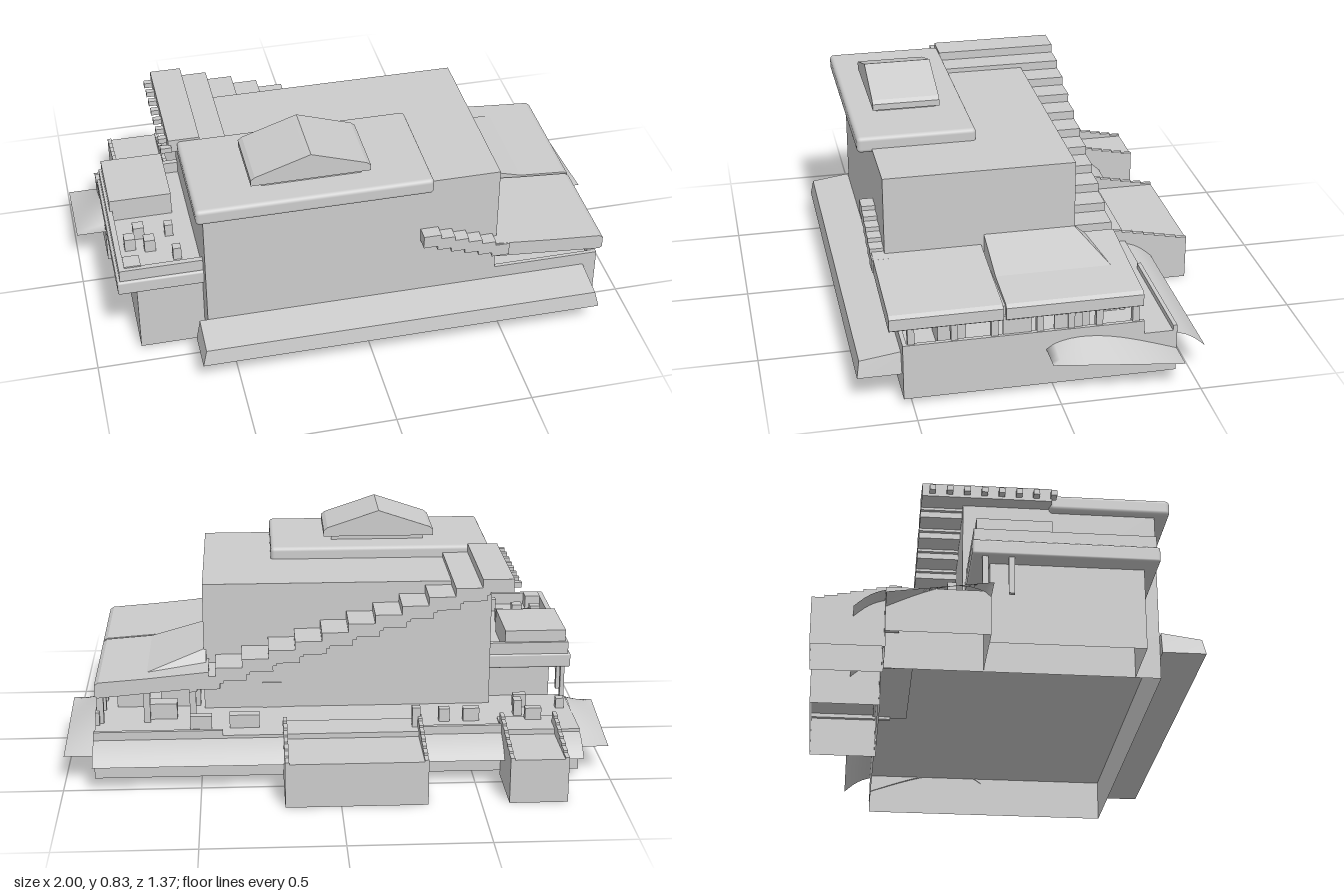
import * as THREE from 'three';
import { RoundedBoxGeometry } from 'three/addons/geometries/RoundedBoxGeometry.js';
import { ParametricGeometry } from 'three/addons/geometries/ParametricGeometry.js';

const stone = new THREE.MeshStandardMaterial({ color: 0xcccccc, side: THREE.DoubleSide });
stone.name = 'pale grey';

export function createModel() {
  const model = new THREE.Group();
  model.name = 'terracedHouse';

  const add = (name, geo, parent = model) => {
    const mesh = new THREE.Mesh(geo, stone);
    mesh.name = name;
    parent.add(mesh);
    return mesh;
  };
  const group = (name) => {
    const g = new THREE.Group();
    g.name = name;
    model.add(g);
    return g;
  };
  // Boxes are given by their limits on each axis
  const place = (geo, x0, x1, y0, y1, z0, z1) =>
    geo.translate((x0 + x1) / 2, (y0 + y1) / 2, (z0 + z1) / 2);
  const box = (name, x0, x1, y0, y1, z0, z1, parent) =>
    add(name, place(new THREE.BoxGeometry(x1 - x0, y1 - y0, z1 - z0), x0, x1, y0, y1, z0, z1), parent);
  const softBox = (name, x0, x1, y0, y1, z0, z1, r, parent) =>
    add(name, place(new RoundedBoxGeometry(x1 - x0, y1 - y0, z1 - z0, 3, r), x0, x1, y0, y1, z0, z1), parent);
  // Box without its bottom face, hollow from below
  const shell = (name, x0, x1, y0, y1, z0, z1, parent) => {
    const mesh = box(name, x0, x1, y0, y1, z0, z1, parent);
    const idx = Array.from(mesh.geometry.index.array);
    idx.splice(18, 6);
    mesh.geometry.setIndex(idx);
    mesh.geometry.clearGroups();
    return mesh;
  };
  // Outline in x and y, drawn along z
  const prism = (name, pts, z0, z1, parent) => {
    const shape = new THREE.Shape(pts.map(([x, y]) => new THREE.Vector2(x, y)));
    const geo = new THREE.ExtrudeGeometry(shape, { depth: z1 - z0, bevelEnabled: false });
    return add(name, geo.translate(0, 0, z0), parent);
  };

  // Hollow foundations and the tall main block
  shell('mainBase', -0.59, 0.89, 0.02, 0.18, -0.44, 0.53);
  shell('sideBase', -0.89, -0.59, 0.02, 0.18, -0.44, -0.09);
  shell('sideWing', -0.83, -0.59, 0.02, 0.32, -0.09, 0.44);
  box('mainBlock', -0.59, 0.49, 0.18, 0.67, -0.165, 0.53);
  box('backDoor', 0.2, 0.27, 0.18, 0.28, -0.17, -0.165);

  // Low walls around the east room and the back terrace
  const walls = group('terraceWalls');
  box('frontWall', 0.49, 0.89, 0.18, 0.23, 0.515, 0.53, walls);
  box('eastWall', 0.875, 0.89, 0.18, 0.23, -0.32, 0.53, walls);
  box('backWallEast', 0.42, 0.89, 0.18, 0.2, -0.44, -0.425, walls);
  box('backWallMiddle', -0.6, -0.31, 0.18, 0.2, -0.44, -0.425, walls);

  // Posts carrying the lower roof
  const posts = group('roofPosts');
  for (const z of [0.5, 0.35, 0.21, 0.05, -0.06, -0.16, -0.29])
    box('eastPost', 0.86, 0.885, 0.18, 0.31, z - 0.012, z + 0.012, posts);
  for (const z of [-0.05, 0.13]) box('windowPanel', 0.87, 0.88, 0.23, 0.3, z - 0.05, z + 0.05, posts);
  for (const x of [0.53, 0.7]) box('backPost', x - 0.012, x + 0.012, 0.18, 0.33, -0.3, -0.28, posts);
  for (const z of [-0.11, -0.02]) box('sidePost', -0.885, -0.87, 0.18, 0.32, z - 0.01, z + 0.01, posts);

  // Lower roof in two halves, sloping down to the side
  const roofLine = [[0.47, 0.32], [0.88, 0.285], [0.89, 0.292], [0.89, 0.335], [0.875, 0.345],
    [0.7, 0.358], [0.47, 0.38]];
  prism('lowerRoofFront', roofLine, 0.18, 0.575);
  prism('lowerRoofBack', roofLine, -0.315, 0.17);
  box('roofJoint', 0.5, 0.87, 0.3, 0.335, 0.165, 0.185);
  // Steeper wedge against the block, hipped towards the back
  const wedge = prism('roofWedge', [[0.48, 0.34], [0.71, 0.34], [0.71, 0.355], [0.48, 0.42]], -0.25, 0.17);
  const wp = wedge.geometry.attributes.position;
  for (let i = 0; i < wp.count; i++)
    if (wp.getY(i) > 0.4 && wp.getZ(i) < 0) wp.setZ(i, -0.16);
  wedge.geometry.computeVertexNormals();

  // Stepped roof descending along the back; the last slabs reappear at the front
  const steps = group('steppedRoof');
  for (let i = 0; i < 12; i++) {
    const x = -0.65 + i * 0.098;
    const top = 0.72 - i * 0.0325;
    const front = i < 3 ? 0.15 : -0.16;
    box('stepSlab', x, x + 0.115, top - 0.05, top, -0.315, front, steps);
    box('stepLip', x + 0.085, x + 0.115, top - 0.06, top - 0.04, -0.315, -0.165, steps);
  }
  for (let i = 0; i < 6; i++) {
    const x = 0.2 + i * 0.052;
    const top = 0.46 - i * 0.017;
    box('frontStep', x, x + 0.065, top - 0.05, top, 0.52, 0.58, steps);
  }
  for (let i = 0; i < 8; i++) {
    const z = -0.29 + i * 0.062;
    box('dentil', -0.68, -0.64, 0.68, 0.7, z, z + 0.022, steps);
  }

  // Upper roof with a gabled lantern
  softBox('upperRoof', -0.62, 0.23, 0.655, 0.715, 0.145, 0.583, 0.015);
  box('lanternBase', -0.37, -0.01, 0.71, 0.74, 0.255, 0.48);
  prism('lanternRoof', [[-0.41, 0.73], [0.02, 0.73], [0.02, 0.753], [0.005, 0.765], [-0.18, 0.827],
    [-0.195, 0.832], [-0.21, 0.827], [-0.395, 0.765], [-0.41, 0.753]], 0.245, 0.495);

  // Side wing roof with parapet, raised box and small roof fittings
  const wing = group('wingRoof');
  softBox('wingSlab', -0.9, -0.585, 0.315, 0.37, -0.155, 0.485, 0.008, wing);
  box('westParapet', -0.89, -0.87, 0.36, 0.415, -0.15, 0.475, wing);
  box('frontParapet', -0.89, -0.59, 0.36, 0.415, 0.455, 0.475, wing);
  box('backParapet', -0.89, -0.59, 0.36, 0.415, -0.15, -0.13, wing);
  box('raisedBox', -0.88, -0.65, 0.36, 0.46, -0.14, 0.12, wing);
  for (const [x, z, s] of [[-0.79, 0.23, 0.04], [-0.83, 0.29, 0.04], [-0.76, 0.31, 0.04],
    [-0.84, 0.43, 0.06], [-0.68, 0.24, 0.03], [-0.67, 0.38, 0.03]])
    box('roofFitting', x - s / 2, x + s / 2, 0.36, 0.42, z - s / 2, z + s / 2, wing);

  // Front skirt with slanted ends
  const xs = [-0.62, 0.84];
  const skirt = box('frontSkirt', xs[0], xs[1], 0.1, 0.18, 0.53, 0.685);
  const sp = skirt.geometry.attributes.position;
  for (let i = 0; i < sp.count; i++) {
    if (sp.getY(i) < 0.12) sp.setX(i, sp.getX(i) + Math.sign(sp.getX(i)) * 0.015);
    else if (sp.getZ(i) > 0.6) sp.setXYZ(i, sp.getX(i), 0.16, 0.675);
  }
  skirt.geometry.computeVertexNormals();

  // Thin arched skirts at the sides and sloped ones at the back
  const skirts = group('skirts');
  for (const [side, z0] of [[1, 0.03], [-1, -0.09]])
    add('sideSkirt', new ParametricGeometry((u, v, p) => {
      const arch = 0.055 * Math.sin(Math.PI * Math.pow(u, 0.7));
      const y = 0.158 - 0.05 * u + arch * (1 - v);
      p.set(side * (0.885 + 0.115 * v), y, z0 + (-0.44 - z0) * u);
    }, 16, 4), skirts);
  for (const [x0, x1] of [[-0.89, -0.81], [-0.6, -0.31], [0.2, 0.89]])
    add('backSkirt', new ParametricGeometry((u, v, p) => {
      p.set(x0 + (x1 - x0) * u, 0.17 - 0.065 * v + 0.012 * Math.sin(Math.PI * v), -0.435 - 0.11 * v);
    }, 1, 6), skirts);

  // Back platforms with stepped side walls
  const platforms = group('backPlatforms');
  for (const [x0, x1] of [[-0.81, -0.6], [-0.31, 0.2]]) {
    shell('platform', x0, x1, 0, 0.165, -0.685, -0.435, platforms);
    box('landing', x0, x1, 0.16, 0.185, -0.45, -0.32, platforms);
    for (const x of [x0, x1 - 0.015])
      for (let i = 0; i < 7; i++) {
        const z = -0.685 + i * 0.043;
        box('wallStep', x, x + 0.015, 0.15, 0.172 + i * 0.009, z, z + 0.043, platforms);
      }
  }

  // Terrace furniture: seats, tables and planters
  const furniture = group('furniture');
  for (const [x, z, w, d, h] of [[-0.73, -0.34, 0.06, 0.03, 0.05], [-0.7, -0.2, 0.05, 0.03, 0.05],
    [-0.68, -0.28, 0.03, 0.04, 0.06], [-0.29, -0.39, 0.03, 0.03, 0.08], [-0.5, -0.33, 0.06, 0.03, 0.05],
    [-0.4, -0.33, 0.04, 0.03, 0.05], [0.34, -0.35, 0.11, 0.04, 0.05], [0.5, -0.36, 0.08, 0.03, 0.05],
    [0.58, -0.1, 0.15, 0.08, 0.08], [0.76, -0.1, 0.12, 0.08, 0.08], [0.58, 0.35, 0.15, 0.1, 0.08],
    [0.77, 0.35, 0.12, 0.1, 0.08], [0.65, -0.24, 0.12, 0.06, 0.06], [-0.85, -0.22, 0.03, 0.03, 0.04]])
    box('furniturePiece', x - w / 2, x + w / 2, 0.18, 0.18 + h, z - d / 2, z + d / 2, furniture);

  return model;
}
